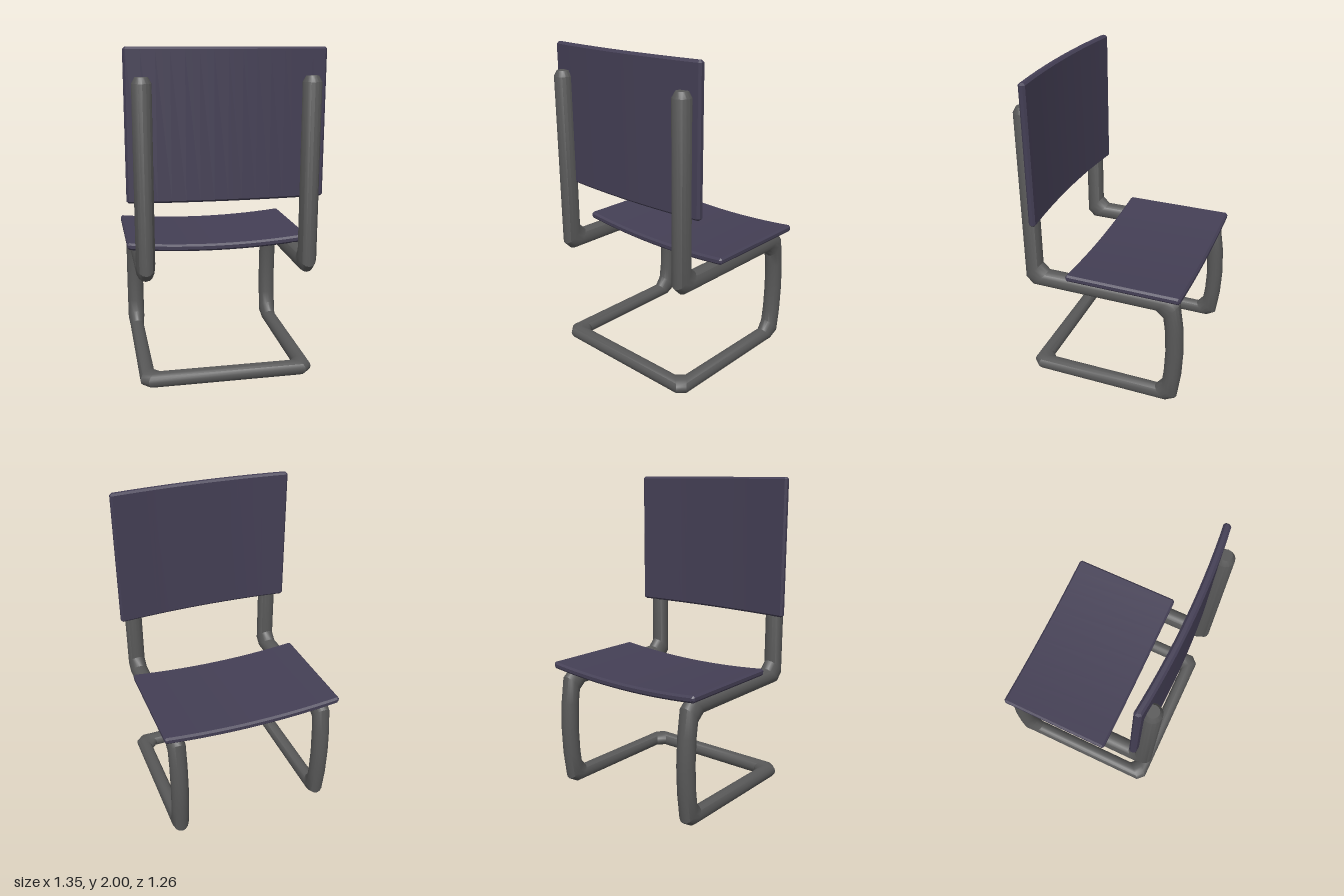
import * as THREE from 'three';
import { toCreasedNormals } from 'three/addons/utils/BufferGeometryUtils.js';

const SIDES = 16;
const R = 0.056;      // tube radius of posts, rails and legs
const R_BASE = 0.047; // tube radius of the floor loop

// Sweeps a round tube along a polyline; each bend is a mitre split by a short chamfer.
// stops: { p: point, c: chamfer, r: radius of the run that follows }
function bentTube(stops) {
  const rings = [];
  const dirs = stops.slice(1).map((s, i) => s.p.clone().sub(stops[i].p).normalize());
  const normal = new THREE.Vector3(1, 0, 0);
  const offsets = (d, r) => {
    const w = d.clone().cross(normal);
    return Array.from({ length: SIDES }, (_, j) => {
      const a = (j / SIDES) * Math.PI * 2;
      return normal.clone().multiplyScalar(r * Math.cos(a)).addScaledVector(w, r * Math.sin(a));
    });
  };
  const addRing = (p, d, m, shift, r) => rings.push(offsets(d, r).map((o) =>
    o.addScaledVector(d, -o.dot(m) / d.dot(m)).add(p).add(shift)));
  // Chamfered end cap, listed from the tip inwards
  const cap = [[0, 0], [0.65 * R, 0], [R, 0.035]];

  const first = dirs[0];
  for (const [r, t] of cap) {
    addRing(stops[0].p, first, first, first.clone().multiplyScalar(t), r);
  }
  for (let i = 1; i < stops.length - 1; i++) {
    const { p, c, r } = stops[i];
    const d1 = dirs[i - 1], d2 = dirs[i];
    const mitre = d1.clone().add(d2);
    addRing(p, d1, mitre, d1.clone().multiplyScalar(-c), stops[i - 1].r);
    normal.applyQuaternion(new THREE.Quaternion().setFromUnitVectors(d1, d2));
    if (c > 0) addRing(p, d2, mitre, d2.clone().multiplyScalar(c), r);
  }
  const last = dirs[dirs.length - 1];
  for (const [r, t] of [...cap].reverse()) {
    addRing(stops[stops.length - 1].p, last, last, last.clone().multiplyScalar(-t), r);
  }

  const index = [];
  for (let i = 0; i < rings.length - 1; i++) {
    for (let j = 0; j < SIDES; j++) {
      const k = (j + 1) % SIDES;
      const a = i * SIDES + j, b = i * SIDES + k;
      index.push(a, b, a + SIDES, b, b + SIDES, a + SIDES);
    }
  }
  const geometry = new THREE.BufferGeometry().setFromPoints(rings.flat());
  geometry.setIndex(index);
  return toCreasedNormals(geometry, 0.6);
}

// Curved board: a sagging strip across x, extruded along z, with small bevels
function curvedPanel(halfWidth, depth) {
  const bevel = 0.012, half = 0.022, sag = 0.032, steps = 14;
  const y = (x) => -sag * (1 - (x / halfWidth) ** 2);
  const inner = halfWidth - bevel;
  const lower = [], upper = [];
  for (let i = 0; i <= steps; i++) {
    const x = inner * (2 * i / steps - 1);
    lower.push(new THREE.Vector2(x, y(x) - half));
    upper.unshift(new THREE.Vector2(x, y(x) + half));
  }
  const end = half - bevel;
  const shape = new THREE.Shape([
    ...lower,
    new THREE.Vector2(halfWidth, -end), new THREE.Vector2(halfWidth, end),
    ...upper,
    new THREE.Vector2(-halfWidth, end), new THREE.Vector2(-halfWidth, -end),
  ]);
  const geometry = new THREE.ExtrudeGeometry(shape, {
    depth: depth - 2 * bevel, bevelEnabled: true, bevelSegments: 1,
    bevelThickness: bevel, bevelSize: bevel, bevelOffset: -bevel,
  });
  geometry.translate(0, 0, bevel);
  return toCreasedNormals(geometry, 0.4);
}

export function createModel() {
  const model = new THREE.Group();
  model.name = 'chair';
  const frameMaterial = new THREE.MeshStandardMaterial({ color: 0x585858 });
  const panelMaterial = new THREE.MeshStandardMaterial({ color: 0x443f55 });
  const add = (name, geometry, material) => {
    const mesh = new THREE.Mesh(geometry, material);
    mesh.name = name;
    model.add(mesh);
    return mesh;
  };

  // One continuous frame: post, seat rail, bowed leg, floor runner, then mirrored
  const back = 0.473, front = -0.42, bow = 0.032, chamfer = 0.045;
  const half = [ // y, z, chamfer, radius
    [1.84, back, 0, R],
    [0.73, back, chamfer, R],
    [0.73, front, chamfer, R],
    [0.56, front - bow * 0.75, 0, R],
    [0.39, front - bow, 0, R],
    [0.22, front - bow * 0.75, 0, R],
    [R_BASE, front, chamfer, R_BASE],
    [R_BASE, back, chamfer, R_BASE],
  ];
  const stop = (x, [y, z, c], r) => ({ p: new THREE.Vector3(x, y, z), c, r });
  const stops = half.map((h) => stop(-0.485, h, h[3]));
  for (let i = half.length - 1; i >= 0; i--) {
    stops.push(stop(0.485, half[i], half[Math.max(i - 1, 0)][3]));
  }
  add('tubeFrame', bentTube(stops), frameMaterial);

  // Seat dips in the middle
  add('seat', curvedPanel(0.572, 0.725), panelMaterial).position.set(0, 0.812, -0.498);

  // Backrest bows backwards
  const backrest = add('backrest', curvedPanel(0.58, 0.87), panelMaterial);
  backrest.rotation.x = -Math.PI / 2;
  backrest.position.set(0, 1.13, 0.42);

  // The chair stands turned, with its back towards +z
  model.rotation.y = -Math.PI / 12;
  model.position.x = -0.005;
  return model;
}
